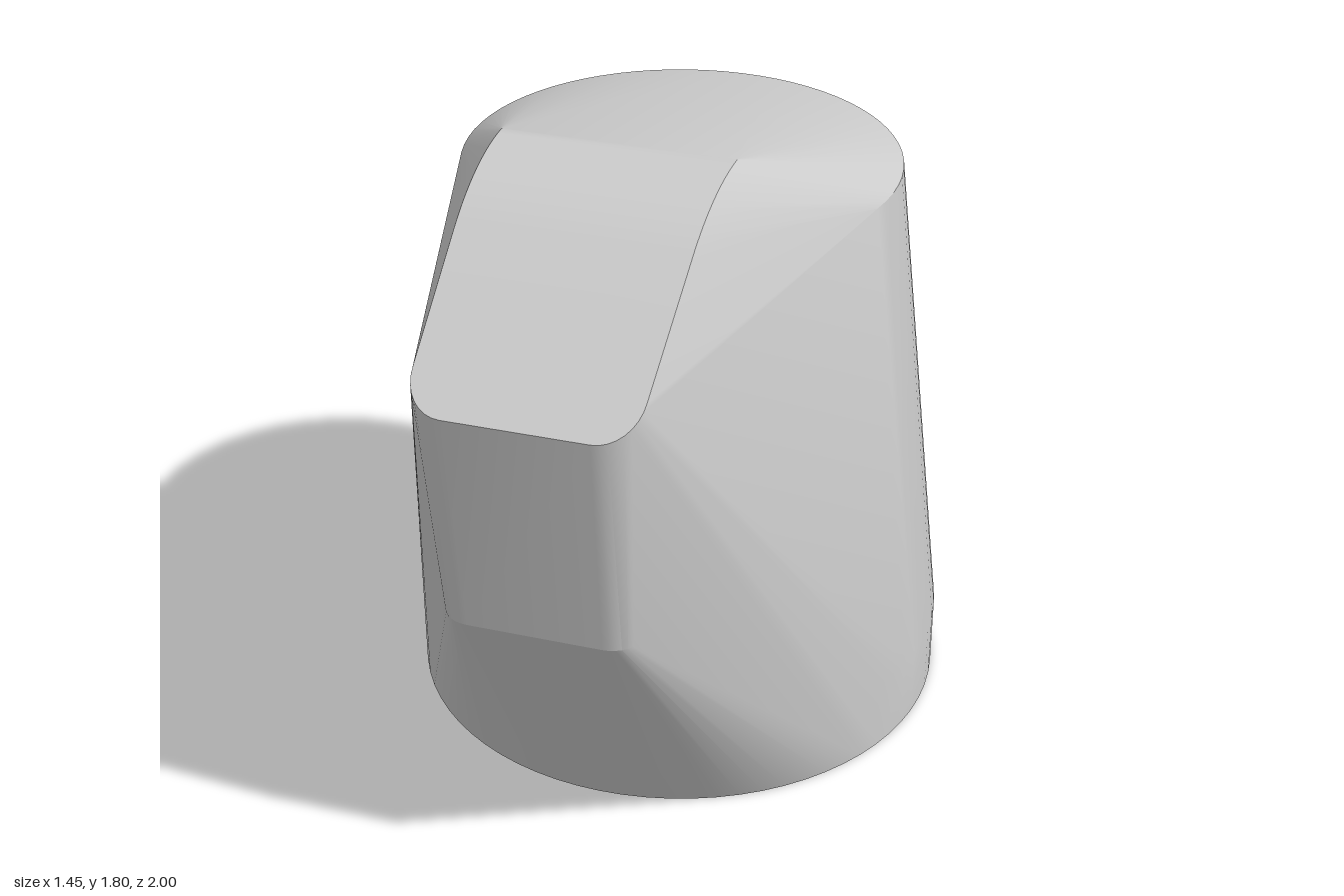
import * as THREE from 'three';
import { ConvexGeometry } from 'three/addons/geometries/ConvexGeometry.js';
import { toCreasedNormals } from 'three/addons/utils/BufferGeometryUtils.js';

const SEGMENTS = 72;
const AXIS_Z = -0.275;

// Ring of points around the upright body axis
function ring(radius, y) {
  return Array.from({ length: SEGMENTS }, (_, i) => {
    const a = (i / SEGMENTS) * Math.PI * 2;
    return new THREE.Vector3(radius * Math.sin(a), y, AXIS_Z + radius * Math.cos(a));
  });
}

// Mirrored rounded front corners of the nose; heightAt gives y for each z
function noseCorners(halfWidth, frontZ, radius, heightAt) {
  const points = [];
  for (let i = 0; i <= 8; i++) {
    const a = (i / 8) * Math.PI / 2;
    const x = halfWidth - radius + radius * Math.sin(a);
    const z = frontZ - radius + radius * Math.cos(a);
    for (const side of [-1, 1]) points.push(new THREE.Vector3(side * x, heightAt(z), z));
  }
  return points;
}

// Rounded ridge that runs from the sloping front face to the crown
function noseRidge() {
  const points = [];
  const radius = 0.58, steepest = 0.603;
  for (let i = 0; i <= 14; i++) {
    const a = -0.03 + (i / 14) * (steepest + 0.03);
    const z = 0.27 + radius * Math.sin(a);
    const y = 1.22 + radius * Math.cos(a);
    const x = 0.295 - 0.023 * (z - 0.25);
    points.push(new THREE.Vector3(x, y, z), new THREE.Vector3(-x, y, z));
  }
  return points;
}

export function createModel() {
  const group = new THREE.Group();
  group.name = 'taperedKnob';

  // The body is one taut skin over a round base, a smaller top rim and the nose
  const points = [
    ...ring(0.725, 0),
    ...ring(0.725, 0.2),
    ...ring(0.575, 1.535),
    ...noseCorners(0.25, 0.91, 0.08, () => 0.81),
    ...noseCorners(0.278, 1.0, 0.1, (z) => 1.425 + (1 - z) * 0.689),
    ...noseRidge(),
  ];
  const geometry = toCreasedNormals(new ConvexGeometry(points), 0.3);
  const body = new THREE.Mesh(geometry, new THREE.MeshStandardMaterial({ color: 0xcccccc }));
  body.name = 'body';
  group.add(body);
  return group;
}
